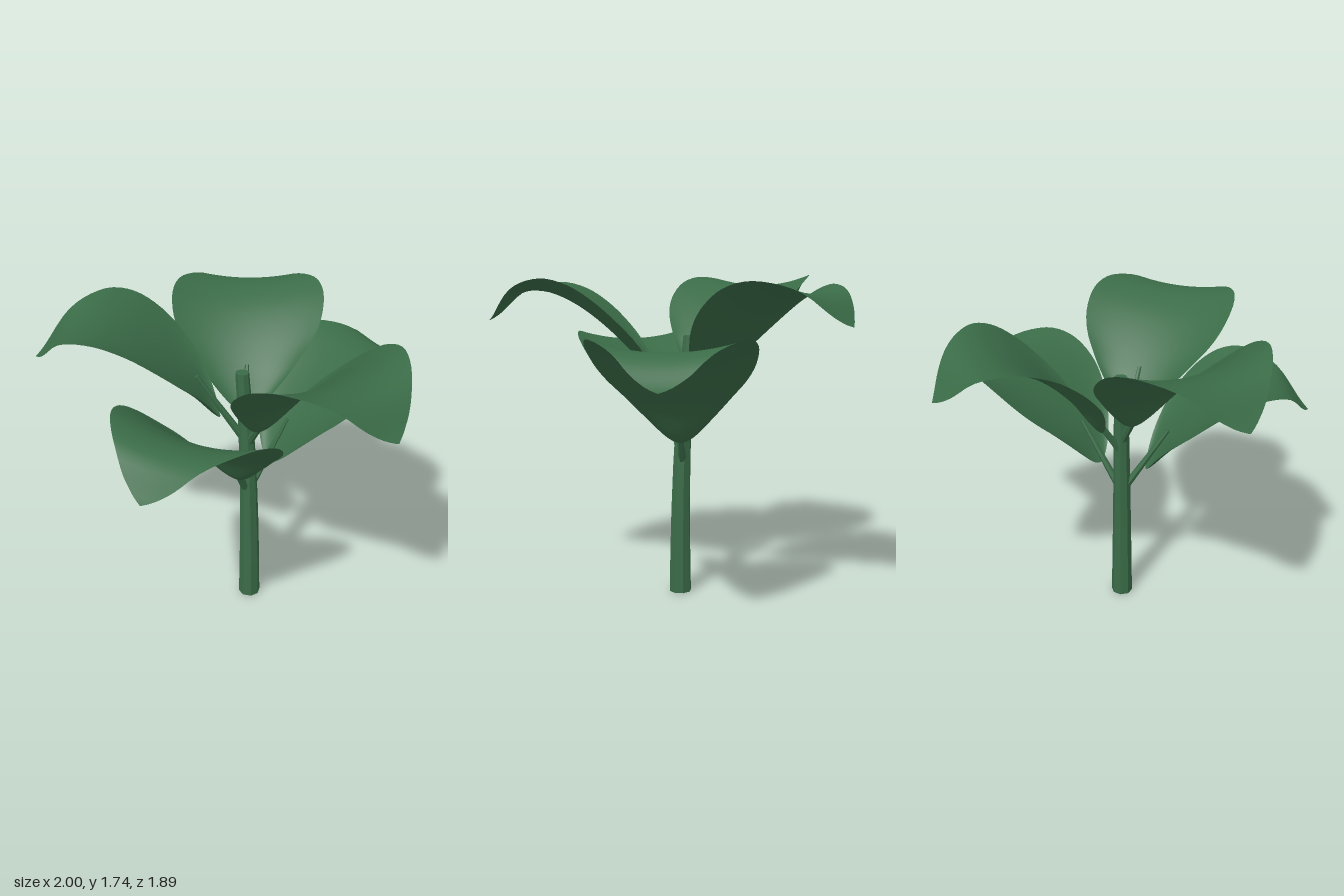
import * as THREE from 'three';

const green = new THREE.MeshStandardMaterial({ color: 0x3a6b47, side: THREE.DoubleSide });
green.name = 'leafGreen';

const STEM_HEIGHT = 1.41;
// the stem leans slightly as it rises, equally along x and z
const stemCentre = (y) => 0.06 - 0.04 * (y / STEM_HEIGHT) ** 2.5;

function part(name, geometry) {
  const mesh = new THREE.Mesh(geometry, green);
  mesh.name = name;
  return mesh;
}

// faceted look without a second material
function faceted(geometry) {
  const flat = geometry.toNonIndexed();
  flat.computeVertexNormals();
  return flat;
}

function stemGeometry() {
  const geo = new THREE.CylinderGeometry(0.036, 0.061, STEM_HEIGHT, 8, 6);
  geo.translate(0, STEM_HEIGHT / 2, 0);
  const p = geo.attributes.position;
  for (let i = 0; i < p.count; i++) {
    const c = stemCentre(p.getY(i));
    p.setXYZ(i, p.getX(i) + c, p.getY(i), p.getZ(i) + c);
  }
  return faceted(geo);
}

// tapered stalk between two points of the leaf's radial plane
function stalkGeometry() {
  const a = new THREE.Vector3(0.015, -0.13, 0);
  const b = new THREE.Vector3(0.25, 0.23, 0);
  const dir = b.clone().sub(a);
  const geo = new THREE.CylinderGeometry(0.011, 0.022, dir.length(), 6);
  geo.applyQuaternion(new THREE.Quaternion().setFromUnitVectors(
    new THREE.Vector3(0, 1, 0), dir.clone().normalize()));
  geo.translate(...a.add(b).multiplyScalar(0.5).toArray());
  return faceted(geo);
}

// cupped blade: +x runs outwards from the stalk, z across, y up
function leafGeometry() {
  const length = 0.91, rows = 40, cols = 16;
  const outline = new THREE.SplineCurve([
    [0, 0], [0.015, 0.085], [0.05, 0.17], [0.11, 0.26], [0.2, 0.35], [0.3, 0.4], [0.43, 0.412],
    [0.56, 0.375], [0.69, 0.285], [0.81, 0.165], [0.87, 0.075], [length, 0],
  ].map(([x, y]) => new THREE.Vector2(x, y)));
  const ridge = new THREE.SplineCurve(
    [0, 0.19, 0.34, 0.45, 0.51, 0.495, 0.36].map((y, i) => new THREE.Vector2(i / 6, y)));
  const pos = [], index = [];
  for (let i = 0; i <= rows; i++) {
    const { x: r, y: halfWidth } = outline.getPoint(i / rows);
    const height = ridge.getPoint(THREE.MathUtils.clamp(r / length, 0, 1)).y;
    // the cup is folded tightly at the base and opens towards the tip
    const cup = 0.8 - 0.55 * r + 5 * Math.exp(-r / 0.06);
    for (let j = 0; j <= cols; j++) {
      const z = halfWidth * (2 * j / cols - 1);
      pos.push(r, height + cup * z * z, z);
      if (i < rows && j < cols) {
        const a = i * (cols + 1) + j, c = a + cols + 1;
        index.push(a, a + 1, c, a + 1, c + 1, c);
      }
    }
  }
  const geo = new THREE.BufferGeometry();
  geo.setAttribute('position', new THREE.Float32BufferAttribute(pos, 3));
  geo.setIndex(index);
  geo.computeVertexNormals();
  return geo;
}

export function createModel() {
  const model = new THREE.Group();
  model.name = 'plant';
  model.add(part('stem', stemGeometry()));

  const leaf = leafGeometry(), stalk = stalkGeometry();
  // name, direction in degrees from +x towards +z, height of the leaf base, relative length
  const leaves = [
    ['lowerLeftLeaf', -24, 0.85, 1],
    ['lowerRightLeaf', 127, 0.85, 0.945],
    ['upperRightLeaf', 185.5, 1.17, 1],
    ['upperBackLeaf', -80.5, 1.11, 0.955],
    ['upperFrontLeaf', 60.5, 1.13, 1],
  ];
  for (const [name, angle, y, length] of leaves) {
    const group = new THREE.Group();
    group.name = name;
    const blade = part('leafBlade', leaf);
    blade.position.x = 0.13;
    blade.scale.x = length;
    group.add(blade, part('leafStalk', stalk));
    const c = stemCentre(y);
    group.position.set(c, y, c);
    group.rotation.y = -THREE.MathUtils.degToRad(angle);
    model.add(group);
  }
  return model;
}
